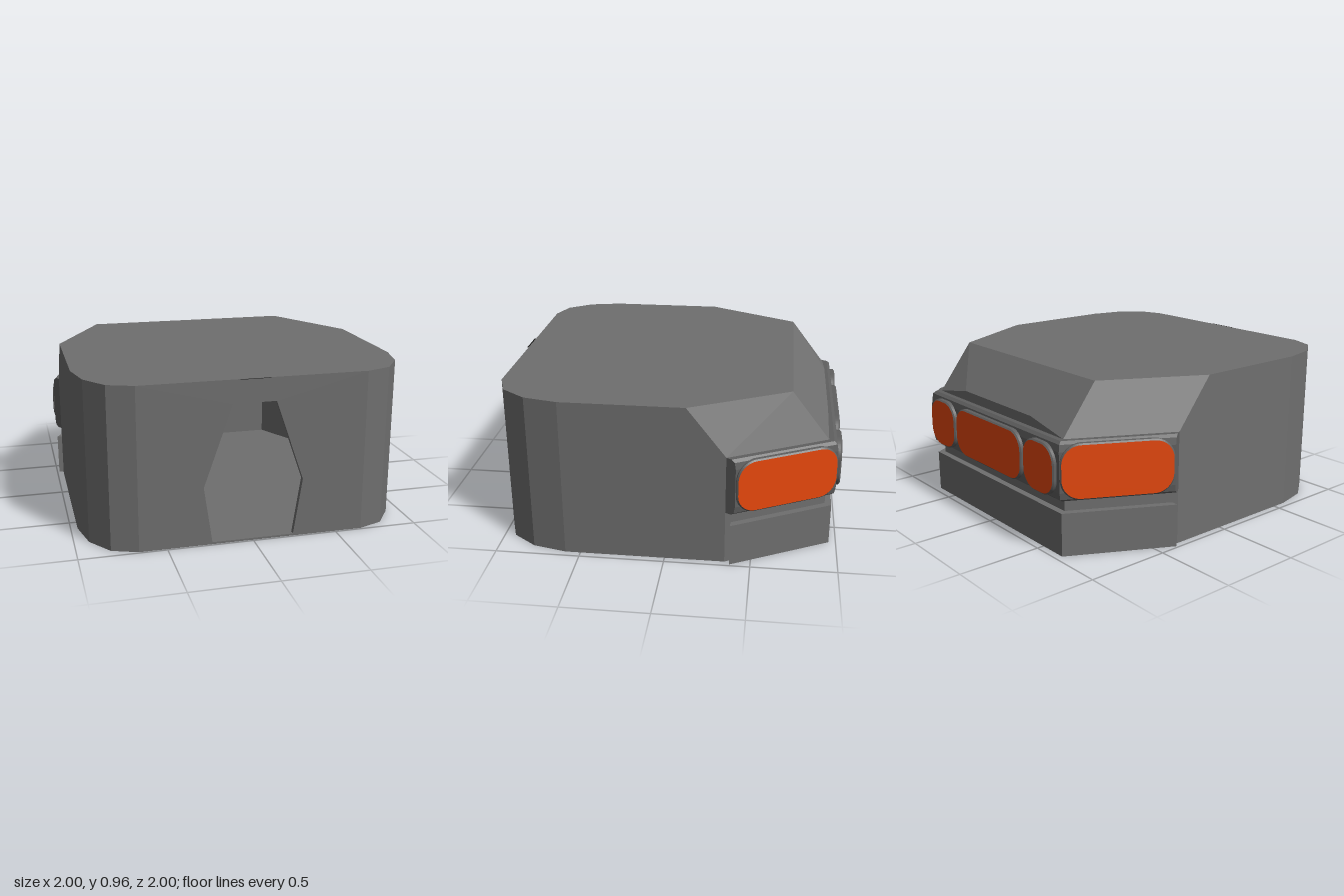
import * as THREE from 'three';

const grey = new THREE.MeshStandardMaterial({ color: 0x6f6f6f, flatShading: true });
const frameGrey = new THREE.MeshStandardMaterial({ color: 0x606060, flatShading: true });
const dark = new THREE.MeshStandardMaterial({ color: 0x1c1c1c, side: THREE.DoubleSide });
const orange = new THREE.MeshStandardMaterial({ color: 0xe8480c });

// Faceted geometry from a list of corner loops, each a convex polygon
function fromPolygons(polygons) {
  const p = [];
  for (const poly of polygons) {
    for (let i = 1; i < poly.length - 1; i++) p.push(...poly[0], ...poly[i], ...poly[i + 1]);
  }
  const g = new THREE.BufferGeometry();
  g.setAttribute('position', new THREE.Float32BufferAttribute(p, 3));
  g.computeVertexNormals();
  return g;
}

// Quads joining successive open rings
function loft(rings) {
  const quads = [];
  for (let r = 0; r < rings.length - 1; r++) {
    const a = rings[r], b = rings[r + 1];
    for (let i = 0; i < a.length - 1; i++) quads.push([a[i], a[i + 1], b[i + 1], b[i]]);
  }
  return quads;
}

// Completes a half outline (x > 0) with its mirror image
const mirrored = (half) => [...half, ...half.map(([x, y, z]) => [-x, y, z]).reverse()];

function add(parent, name, geometry, material) {
  const mesh = new THREE.Mesh(geometry, material);
  mesh.name = name;
  parent.add(mesh);
  return mesh;
}

// Walls, floor and roof with sloped rear edges; the front wall stays open
function shellPolygons(scale, floor, roof) {
  const front = [[0.66, 0.99], [0.81, 0.935], [0.915, 0.79], [0.96, 0.59]];
  const ring = (y, rear) => mirrored([...front.map(([x, z]) => [x, y, z]), ...rear]
    .map(([x, h, z]) => [x * scale, h, z * scale]));
  const rings = [
    ring(floor, [[0.96, floor, -0.35], [0.655, floor, -0.92], [0.35, floor, -0.92]]),
    ring(0.67, [[0.96, 0.67, -0.35], [0.655, 0.67, -0.92], [0.35, 0.73, -0.92]]),
    ring(roof, [[0.96, roof, -0.125], [0.655, roof, -0.7], [0.655, roof, -0.7]]),
  ];
  return [...loft(rings), [...rings[0]].reverse(), rings[2]];
}

// Rear chamfer: outward normal and the direction along it towards the back
const N = [0.882, -0.472], T = [-0.472, -0.882];

// Point on the chamfer, t along it and d out from it
const chamfer = (t, d) => [0.96 + T[0] * t + N[0] * d, -0.35 + T[1] * t + N[1] * d];

// Band around the chamfers and the back; profile points are [offset, y],
// trim gives the distance its ends are cut back at each offset
function wrapBand(profile, trim) {
  const rings = profile.map(([d, y]) => {
    const [x, z] = chamfer(trim(d), d);
    return mirrored([[x, y, z], [0.655 + 0.6 * d, y, -0.92 - d]]);
  });
  const start = rings.map((r) => r[0]);
  const end = rings.map((r) => r[3]).reverse();
  return fromPolygons([...loft(rings), start, end]);
}

// Rounded pane with a bevelled rim, total thickness t, back face at z = 0
function roundedPane(w, h, r, t) {
  const s = new THREE.Shape(), x = w / 2, y = h / 2, bevel = 0.008;
  s.moveTo(-x + r, -y);
  s.lineTo(x - r, -y);
  s.absarc(x - r, -y + r, r, -Math.PI / 2, 0);
  s.lineTo(x, y - r);
  s.absarc(x - r, y - r, r, 0, Math.PI / 2);
  s.lineTo(-x + r, y);
  s.absarc(-x + r, y - r, r, Math.PI / 2, Math.PI);
  s.lineTo(-x, -y + r);
  s.absarc(-x + r, -y + r, r, Math.PI, Math.PI * 1.5);
  return new THREE.ExtrudeGeometry(s, {
    depth: t - 2 * bevel, bevelSize: bevel, bevelThickness: bevel, bevelSegments: 1, curveSegments: 8,
  }).translate(0, 0, bevel);
}

export function createModel() {
  const model = new THREE.Group();
  model.name = 'building';

  // Hollow body
  add(model, 'outerWalls', fromPolygons(shellPolygons(1, 0, 0.957)), grey);
  const inside = shellPolygons(0.97, 0.012, 0.93).map((p) => [...p].reverse());
  add(model, 'innerWalls', fromPolygons(inside), grey);

  // Front wall with the doorway
  const points = (list) => list.map(([x, y]) => new THREE.Vector2(x, y));
  const wall = new THREE.Shape(points([[-0.66, 0], [0.66, 0], [0.66, 0.957], [-0.66, 0.957]]));
  wall.holes.push(new THREE.Path(points([[-0.24, 0.012], [-0.29, 0.345], [-0.125, 0.82],
    [0.125, 0.82], [0.29, 0.345], [0.24, 0.012]])));
  const frontGeo = new THREE.ExtrudeGeometry(wall, { depth: 0.03, bevelEnabled: false });
  add(model, 'frontWall', frontGeo.translate(0, 0, 0.96), grey);

  // Flat lip at the roof edge over the doorway
  const lip = add(model, 'roofLip', new THREE.PlaneGeometry(0.18, 0.01), dark);
  lip.rotation.x = -Math.PI / 2;
  lip.position.set(0, 0.956, 0.995);

  // Rear skirt, its ends square to the sides, and the window frame
  add(model, 'rearSkirt', wrapBand([[0, 0], [0.038, 0], [0.038, 0.255], [0, 0.255]],
    (d) => (0.03 + N[1] * d) / 0.882), grey);
  add(model, 'windowFrame', wrapBand([[0, 0.325], [0.03, 0.325], [0.048, 0.34], [0.055, 0.38],
    [0.055, 0.615], [0.048, 0.655], [0.03, 0.67], [0, 0.67]], (d) => 0.6 * d), frameGrey);

  // Back windows, passing right through the wall
  for (const [x, w] of [[0, 0.694], [0.52, 0.274], [-0.52, 0.274]]) {
    const pane = add(model, 'backWindow', roundedPane(w, 0.284, 0.1, 0.115), [orange, frameGrey]);
    pane.position.set(x, 0.495, -0.885);
    pane.rotation.y = Math.PI;
  }

  // Slanted trim above and below the windows on the inside
  for (const [y, tilt] of [[0.635, 0.8], [0.334, -0.8]]) {
    const trim = add(model, 'innerWindowTrim', new THREE.BoxGeometry(1.24, 0.028, 0.004), grey);
    trim.position.set(0, y, -0.882);
    trim.rotation.x = tilt;
  }

  // Chamfer windows
  for (const side of [1, -1]) {
    const pane = add(model, 'sideWindow', roundedPane(0.625, 0.306, 0.11, 0.107), [orange, frameGrey]);
    const [x, z] = chamfer(0.357, -0.037);
    pane.position.set(side * x, 0.5, z);
    pane.rotation.y = side * Math.atan2(N[0], N[1]);
  }
  return model;
}
